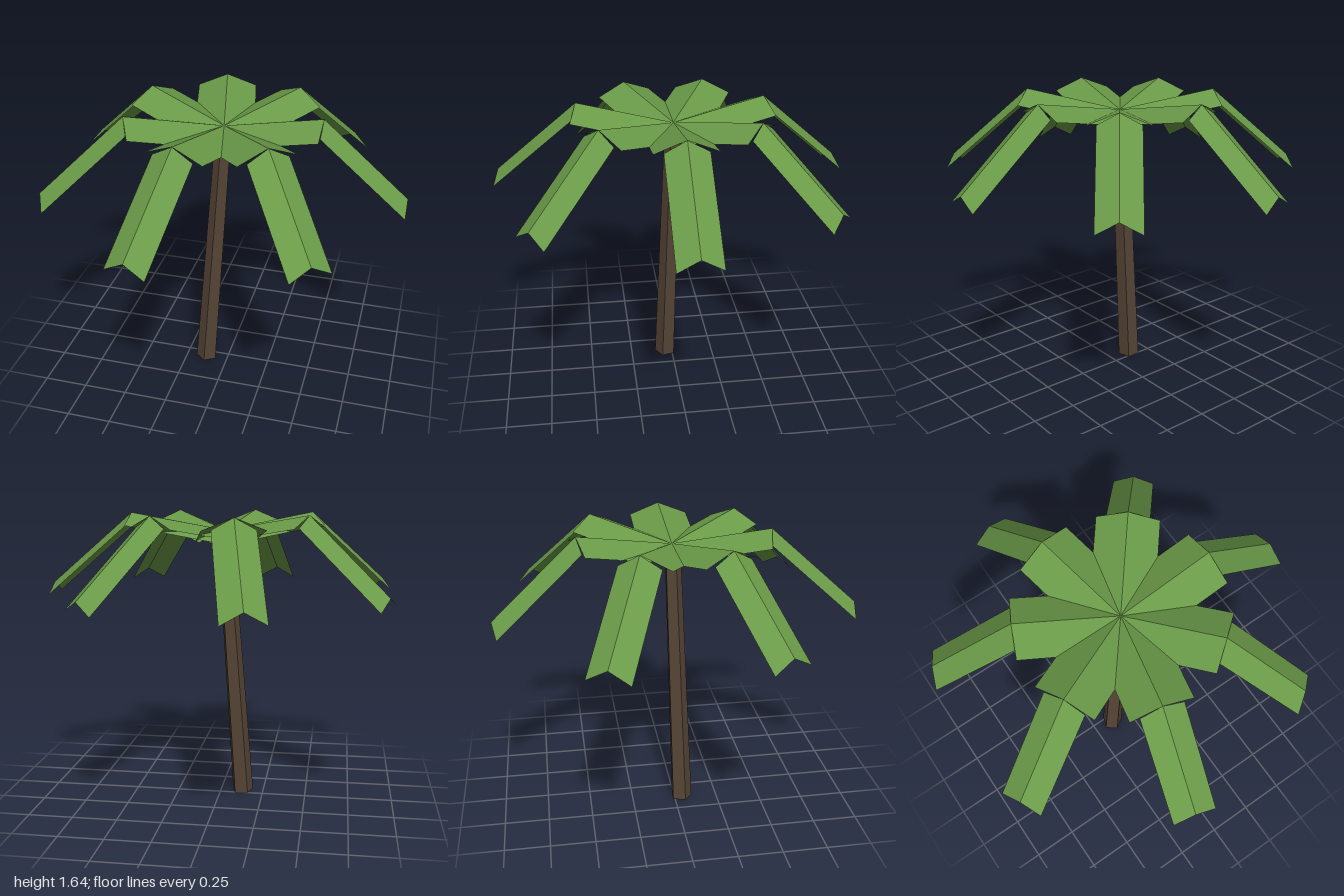
import * as THREE from 'three';

const leafGreen = new THREE.MeshStandardMaterial({ color: 0x6a9a48, flatShading: true, side: THREE.DoubleSide });
leafGreen.name = 'leaf green';
const barkBrown = new THREE.MeshStandardMaterial({ color: 0x554536, flatShading: true });
barkBrown.name = 'bark brown';

const FRONDS = 7;
const crown = new THREE.Vector3(-0.025, 0, 0);

// Open strip along +x folded along its middle; stations are [x, ridge height]
function foldedStrip(name, start, end, halfWidth, drop) {
  const geometry = new THREE.PlaneGeometry(1, 1, 1, 2);
  geometry.rotateX(-Math.PI / 2);
  const p = geometry.attributes.position;
  for (let i = 0; i < p.count; i++) {
    const [x, ridge] = p.getX(i) < 0 ? start : end;
    const side = p.getZ(i) * 2; // -1, 0 or 1 across the leaf
    p.setXYZ(i, x, ridge - Math.abs(side) * drop, side * halfWidth);
  }
  const flat = geometry.toNonIndexed();
  flat.computeVertexNormals();
  const mesh = new THREE.Mesh(flat, leafGreen);
  mesh.name = name;
  return mesh;
}

export function createModel() {
  const model = new THREE.Group();
  model.name = 'palmTree';

  // Leaning five-sided trunk
  const base = new THREE.Vector3(-0.129, 0.006, 0.04);
  const top = new THREE.Vector3(-0.025, 1.515, 0.002);
  const axis = top.clone().sub(base);
  const trunkGeometry = new THREE.CylinderGeometry(0.046, 0.063, axis.length(), 5);
  trunkGeometry.rotateY(-0.035);
  const trunk = new THREE.Mesh(trunkGeometry, barkBrown);
  trunk.name = 'trunk';
  trunk.position.copy(base).add(top).multiplyScalar(0.5);
  trunk.quaternion.setFromUnitVectors(new THREE.Vector3(0, 1, 0), axis.normalize());
  model.add(trunk);

  // Ring of fronds: a wide rising inner leaf and a narrower drooping outer leaf
  for (let i = 0; i < FRONDS; i++) {
    const frond = new THREE.Group();
    frond.name = `frond${i + 1}`;
    frond.add(
      foldedStrip('innerLeaf', [0, 1.545], [0.53, 1.638], 0.165, 0.065),
      foldedStrip('outerLeaf', [0.53, 1.638], [0.995, 1.24], 0.114, 0.062)
    );
    frond.position.copy(crown);
    frond.rotation.y = (i / FRONDS) * Math.PI * 2;
    model.add(frond);
  }
  return model;
}
